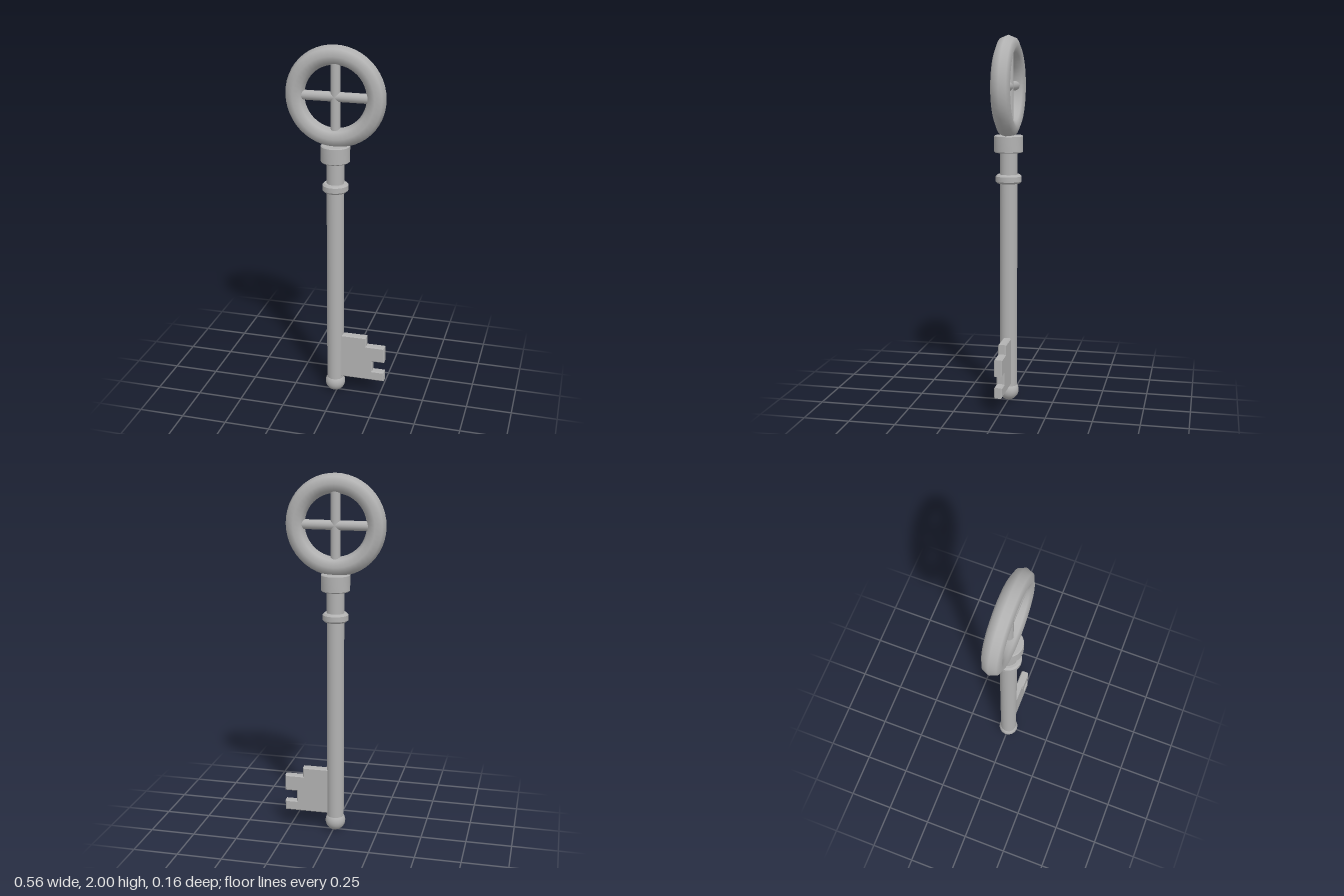
import * as THREE from 'three';
import { toCreasedNormals } from 'three/addons/utils/BufferGeometryUtils.js';

const AXIS_X = -0.01; // shaft axis, offset because the bit projects to one side
const RING_Y = 1.73;

export function createModel() {
  const key = new THREE.Group();
  key.name = 'key';
  const iron = new THREE.MeshStandardMaterial({ color: 0xb2b2b2 });
  iron.name = 'grey iron';

  const add = (name, geometry, x, y) => {
    const mesh = new THREE.Mesh(geometry, iron);
    mesh.name = name;
    mesh.position.set(x, y, 0);
    key.add(mesh);
    return mesh;
  };

  // Chamfered collar turned around the shaft
  const collar = (name, radius, bottom, top, chamfer) => {
    const h = top - bottom;
    const profile = [
      [0, 0], [radius - chamfer, 0], [radius, chamfer],
      [radius, h - chamfer], [radius - chamfer, h], [0, h],
    ].map(([r, y]) => new THREE.Vector2(r, y));
    add(name, toCreasedNormals(new THREE.LatheGeometry(profile, 24), 0.6), AXIS_X, bottom);
  };

  // Bow: round ring with a cross inside
  add('bowRing', new THREE.TorusGeometry(0.218, 0.052, 8, 48), AXIS_X, RING_Y);
  const bar = new THREE.CylinderGeometry(0.026, 0.026, 0.37, 16);
  add('bowUpright', bar, AXIS_X, RING_Y);
  add('bowCrossbar', bar, AXIS_X, RING_Y).rotation.z = Math.PI / 2;

  // Shaft with two collars and a ball tip
  add('shaft', new THREE.CylinderGeometry(0.047, 0.047, 1.36, 24), AXIS_X, 0.74);
  collar('upperCollar', 0.078, 1.38, 1.472, 0.005);
  collar('lowerCollar', 0.07, 1.214, 1.262, 0.01);
  add('ballTip', new THREE.SphereGeometry(0.056, 24, 16), AXIS_X, 0.057);

  // Bit: notched plate with a slim bevel
  const bevel = 0.006;
  const outline = new THREE.Shape([
    [0, 0.1], [0.277, 0.1], [0.277, 0.158], [0.209, 0.158], [0.209, 0.218],
    [0.277, 0.218], [0.277, 0.311], [0.173, 0.311], [0.173, 0.364], [0, 0.364],
  ].map(([x, y]) => new THREE.Vector2(x, y)));
  const bit = new THREE.ExtrudeGeometry(outline, {
    depth: 0.032, bevelEnabled: true, bevelSize: bevel, bevelOffset: -bevel,
    bevelThickness: bevel, bevelSegments: 1,
  });
  bit.translate(0, 0, -0.016);
  add('bit', bit, 0, 0);

  return key;
}
